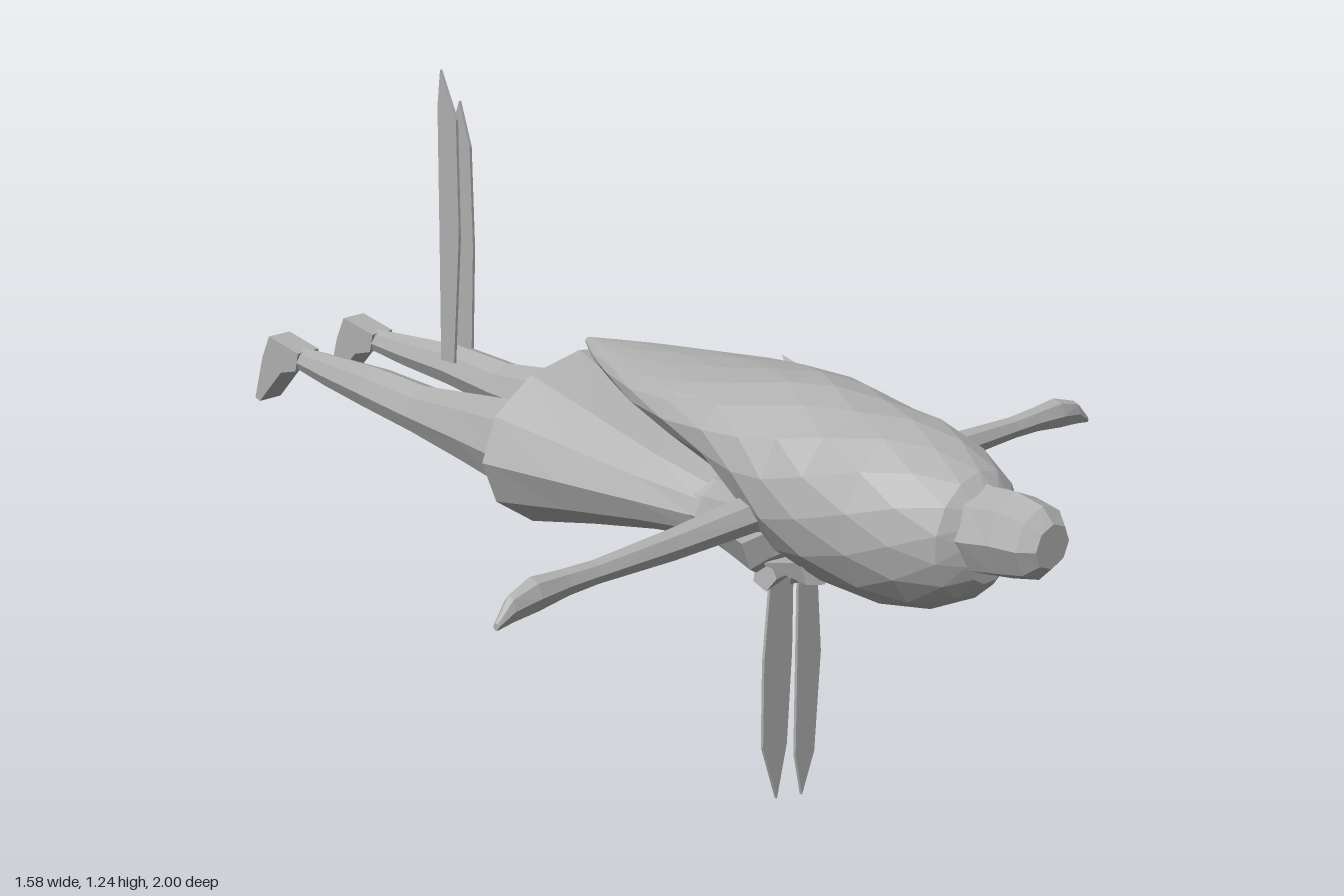
import * as THREE from 'three';

const gray = new THREE.MeshStandardMaterial({ color: 0xb0b0b0, flatShading: true, side: THREE.DoubleSide });
gray.name = 'plain gray';

// Faceted skin over elliptical rings [z, centreX, centreY, radiusX, radiusY], listed front to back
function loft(rings, sides, { capFront = true, capBack = true, stagger = false } = {}) {
  const pos = [], idx = [];
  rings.forEach(([z, cx, cy, rx, ry], j) => {
    for (let i = 0; i < sides; i++) {
      const a = ((i + (stagger && j % 2 ? 0.5 : 0)) / sides) * Math.PI * 2;
      pos.push(cx + rx * Math.cos(a), cy + ry * Math.sin(a), z);
    }
  });
  const at = (j, i) => j * sides + (i % sides);
  for (let j = 0; j < rings.length - 1; j++) {
    for (let i = 0; i < sides; i++) {
      const a = at(j, i), b = at(j, i + 1), c = at(j + 1, i), d = at(j + 1, i + 1);
      if (j % 2) idx.push(a, d, b, a, c, d);
      else idx.push(a, c, b, b, c, d);
    }
  }
  const last = rings.length - 1;
  for (let i = 1; i < sides - 1; i++) {
    if (capFront) idx.push(at(0, 0), at(0, i), at(0, i + 1));
    if (capBack) idx.push(at(last, 0), at(last, i + 1), at(last, i));
  }
  const g = new THREE.BufferGeometry();
  g.setAttribute('position', new THREE.Float32BufferAttribute(pos, 3));
  g.setIndex(idx);
  g.computeVertexNormals();
  return g;
}

// Thin ribbon cut from an outline in the xy plane
function ribbon(points) {
  const shape = new THREE.Shape(points.map(([x, y]) => new THREE.Vector2(x, y)));
  return new THREE.ExtrudeGeometry(shape, { depth: 0.006, bevelEnabled: false }).translate(0, 0, -0.003);
}

// Cone from a base point to a tip
function spike(from, to, radius, sides = 4) {
  const a = new THREE.Vector3(...from), b = new THREE.Vector3(...to);
  const dir = b.clone().sub(a), len = dir.length();
  const g = new THREE.ConeGeometry(radius, len, sides).translate(0, len / 2, 0);
  g.applyQuaternion(new THREE.Quaternion().setFromUnitVectors(new THREE.Vector3(0, 1, 0), dir.normalize()));
  return g.translate(a.x, a.y, a.z);
}

export function createModel() {
  const model = new THREE.Group();
  model.name = 'flyingFigure';
  const add = (name, geometry) => {
    const mesh = new THREE.Mesh(geometry, gray);
    mesh.name = name;
    model.add(mesh);
    return mesh;
  };

  // Large swept-back hair, full round the head and tapering over the back
  add('hair', loft([
    [0.87, -0.01, 0.635, 0.07, 0.08],
    [0.84, -0.01, 0.635, 0.115, 0.115],
    [0.77, -0.01, 0.635, 0.155, 0.15],
    [0.69, -0.01, 0.64, 0.178, 0.168],
    [0.59, -0.01, 0.648, 0.193, 0.168],
    [0.51, -0.01, 0.665, 0.197, 0.165],
    [0.44, -0.01, 0.70, 0.195, 0.135],
    [0.36, -0.01, 0.735, 0.19, 0.095],
    [0.25, -0.01, 0.75, 0.175, 0.07],
    [0.13, -0.01, 0.76, 0.14, 0.05],
    [0.02, -0.01, 0.77, 0.09, 0.032],
    [-0.06, -0.01, 0.778, 0.05, 0.018],
    [-0.12, -0.01, 0.785, 0.008, 0.006],
  ], 14, { stagger: true }));

  // Hair bun on the crown
  add('hairBun', loft([
    [1.0, -0.01, 0.655, 0.045, 0.04],
    [0.975, -0.01, 0.655, 0.068, 0.066],
    [0.92, -0.01, 0.655, 0.076, 0.078],
    [0.87, -0.01, 0.65, 0.085, 0.08],
    [0.82, -0.01, 0.65, 0.09, 0.085],
  ], 8));

  // Loose tufts and side locks
  for (const s of [-1, 1]) {
    add('hairTuft', spike([s * 0.12 - 0.01, 0.765, 0.33], [s * 0.155 - 0.01, 0.80, 0.24], 0.03));
    add('sideLock', spike([s * 0.11 - 0.01, 0.53, 0.57], [s * 0.08 - 0.01, 0.49, 0.41], 0.035, 5));
  }

  // Neck, chest and waist
  add('torso', loft([
    [0.54, -0.01, 0.57, 0.05, 0.05],
    [0.48, -0.01, 0.57, 0.06, 0.06],
    [0.44, -0.01, 0.56, 0.11, 0.085],
    [0.40, -0.01, 0.535, 0.12, 0.095],
    [0.34, -0.01, 0.54, 0.105, 0.085],
    [0.25, -0.01, 0.54, 0.085, 0.06],
    [0.15, -0.01, 0.55, 0.10, 0.065],
  ], 10));

  // Flared skirt, open at the hem
  add('skirt', loft([
    [0.24, -0.01, 0.54, 0.085, 0.062],
    [0.13, -0.01, 0.555, 0.135, 0.085],
    [0.0, -0.01, 0.575, 0.20, 0.125],
    [-0.145, -0.01, 0.59, 0.255, 0.17],
  ], 12, { capFront: false, capBack: false }));

  // Arms stretched out sideways (lofted along z, then turned to x) and legs, both mirrored
  const armShape = loft([
    [-0.03, 0.45, 0.59, 0.035, 0.04],
    [-0.18, 0.458, 0.618, 0.038, 0.034],
    [-0.38, 0.462, 0.612, 0.027, 0.028],
    [-0.56, 0.462, 0.611, 0.022, 0.021],
    [-0.63, 0.462, 0.611, 0.022, 0.024],
    [-0.70, 0.462, 0.609, 0.026, 0.031],
    [-0.755, 0.468, 0.6, 0.015, 0.025],
    [-0.79, 0.472, 0.58, 0.006, 0.007],
  ], 7).rotateY(-Math.PI / 2);
  const legShape = loft([
    [0.08, 0.07, 0.57, 0.06, 0.06],
    [-0.14, 0.116, 0.585, 0.09, 0.095],
    [-0.3, 0.115, 0.59, 0.073, 0.072],
    [-0.47, 0.112, 0.592, 0.055, 0.05],
    [-0.62, 0.112, 0.605, 0.05, 0.044],
    [-0.76, 0.105, 0.608, 0.038, 0.034],
    [-0.87, 0.1, 0.612, 0.026, 0.024],
  ], 8);
  // Pointed foot from its side outline
  const footOutline = [[0.85, 0.632], [0.945, 0.65], [0.97, 0.6], [1.0, 0.505], [0.985, 0.5], [0.91, 0.578], [0.86, 0.592]];
  const footShape = new THREE.ExtrudeGeometry(
    new THREE.Shape(footOutline.map(([x, y]) => new THREE.Vector2(x, y))),
    { depth: 0.055, bevelEnabled: false }).rotateY(Math.PI / 2).translate(0.073, 0, 0);
  for (const s of [1, -1]) {
    const side = s > 0 ? 'left' : 'right';
    add(side + 'Arm', armShape).scale.x = s;
    for (const [part, shape] of [['Leg', legShape], ['Foot', footShape]]) {
      const mesh = add(side + part, shape);
      mesh.scale.x = s;
      mesh.position.x = -0.015;
    }
  }

  // Chest bow with two hanging tails
  add('bowKnot', new THREE.IcosahedronGeometry(0.025, 0).translate(-0.01, 0.455, 0.42));
  for (const s of [-1, 1]) {
    add('bowLoop', spike([s * 0.08 - 0.01, 0.47, 0.42], [-0.01, 0.455, 0.42], 0.03, 5));
  }
  add('rightTail', ribbon([[-0.075, 0.46], [-0.09, 0.3], [-0.09, 0.13], [-0.05, 0.015],
    [-0.025, 0.12], [-0.015, 0.3], [-0.015, 0.45]])).position.z = 0.42;
  add('leftTail', ribbon([[0, 0.45], [0, 0.09], [0.02, 0], [0.052, 0.08],
    [0.065, 0.28], [0.05, 0.45]])).position.z = 0.42;

  // Two upright ribbons on the left leg; outline x runs toward the back
  const innerRibbon = ribbon([[0.575, 0.63], [0.615, 0.63], [0.612, 0.9], [0.61, 1.16], [0.6, 1.235],
    [0.555, 1.14], [0.553, 0.9]]);
  const outerRibbon = ribbon([[0.63, 0.62], [0.675, 0.62], [0.68, 0.85], [0.675, 1.1], [0.655, 1.15],
    [0.625, 1.06], [0.62, 0.85]]);
  add('innerLegRibbon', innerRibbon.rotateY(Math.PI / 2)).position.x = 0.048;
  add('outerLegRibbon', outerRibbon.rotateY(Math.PI / 2)).position.x = 0.145;

  return model;
}
